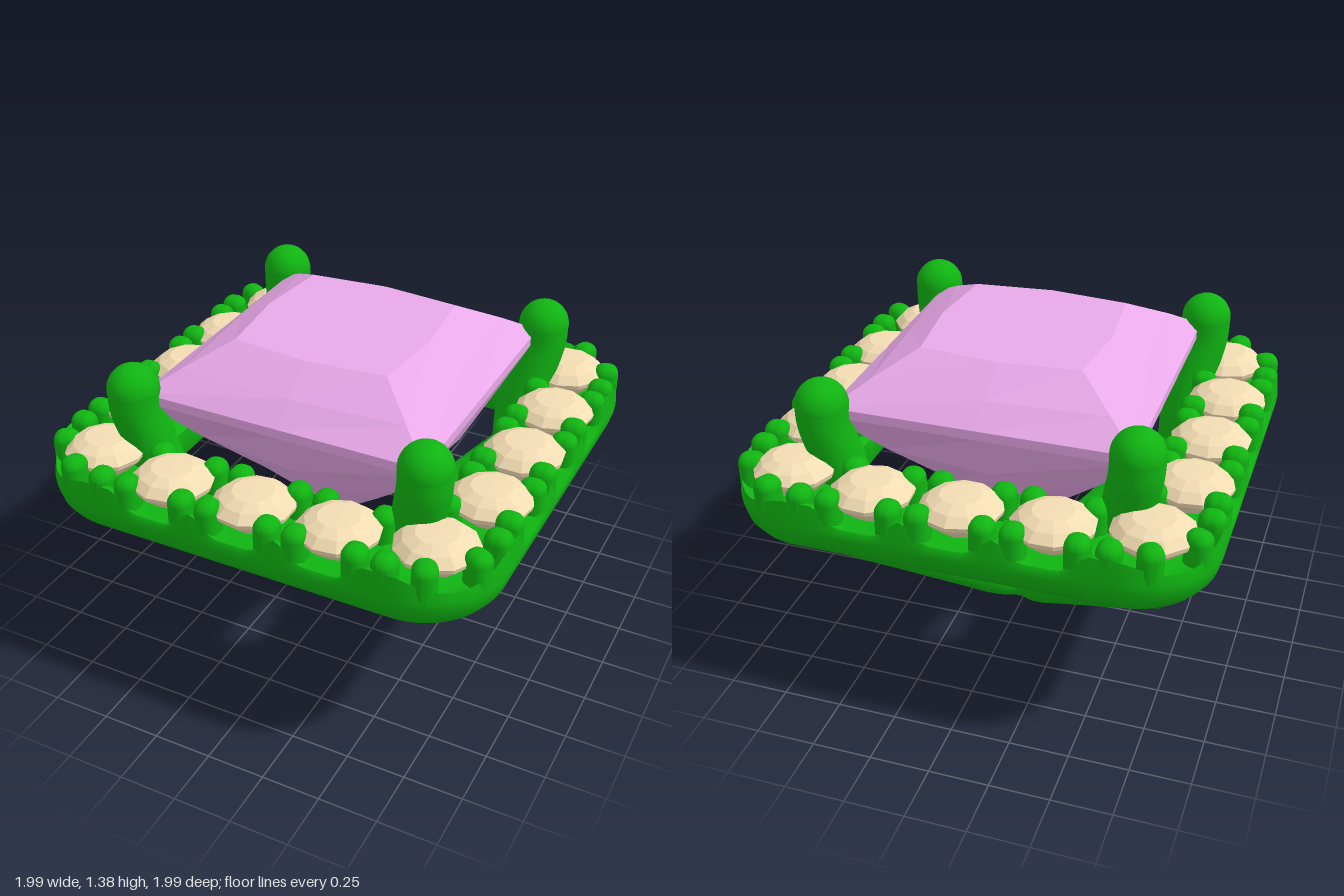
import * as THREE from 'three';
import { toCreasedNormals } from 'three/addons/utils/BufferGeometryUtils.js';
import { RoundedBoxGeometry } from 'three/addons/geometries/RoundedBoxGeometry.js';

const V = (x, y, z) => new THREE.Vector3(x, y, z);

// Skin a stack of equal-length rings (angle running from +x to +z, rings going up the outside)
function loft(rings, wrap = false) {
  const n = rings[0].length, m = rings.length, index = [];
  for (let i = 0; i < (wrap ? m : m - 1); i++) {
    for (let j = 0; j < n; j++) {
      const a = i * n + j, b = i * n + (j + 1) % n;
      const c = ((i + 1) % m) * n + j, d = ((i + 1) % m) * n + (j + 1) % n;
      index.push(a, c, b, b, c, d);
    }
  }
  const geo = new THREE.BufferGeometry().setFromPoints(rings.flat());
  geo.setIndex(index);
  geo.computeVertexNormals();
  return geo;
}

// Rounded square, inset by o from the outer edge
function outline(o) {
  const r = Math.max(0.35 - o, 0.02), c = 1 - o - r, side = [];
  for (let i = 0; i < 16; i++) {
    const a = (i / 16) * Math.PI / 2;
    side.push([c + r * Math.cos(a), c + r * Math.sin(a)]);
  }
  for (let i = 0; i < 56; i++) side.push([c - 2 * c * i / 56, c + r]);
  const pts = [];
  for (let k = 0; k < 4; k++) {
    for (const [x, z] of side) pts.push([[x, z], [-z, x], [-x, -z], [z, -x]][k]);
  }
  return pts;
}

export function createModel() {
  const model = new THREE.Group();
  const metal = new THREE.MeshStandardMaterial({ color: 0x10b412 });
  const violet = new THREE.MeshStandardMaterial({ color: 0xe8a8e8, flatShading: true });
  const cream = new THREE.MeshStandardMaterial({ color: 0xf2dcb2, flatShading: true });
  const add = (name, geo, mat, parent = model) => {
    const mesh = new THREE.Mesh(geo, mat);
    mesh.name = name;
    parent.add(mesh);
    return mesh;
  };
  const group = (name, parent = model) => {
    const g = new THREE.Group();
    g.name = name;
    parent.add(g);
    return g;
  };

  // Stone centres: three along each side, one at each corner
  const seats = [];
  for (const s of [-1, 1]) {
    for (const t of [-0.37, 0, 0.37]) seats.push([t, s * 0.81], [s * 0.81, t]);
    for (const t of [-1, 1]) seats.push([s * 0.74, t * 0.74]);
  }

  // Halo frame: swept profile whose top dips into a scallop at every stone
  const topY = (x, z) => {
    const d = Math.min(...seats.map(([a, b]) => Math.hypot(x - a, z - b)));
    return 0.885 + 0.085 * THREE.MathUtils.smoothstep(d, 0.185, 0.26);
  };
  const profile = [ // [inset, height], null height = scalloped top
    [0.09, 0.73], [0.05, 0.745], [0.02, 0.785], [0.005, 0.84], [0.003, 0.87],
    [0.012, null], [0.04, null], [0.09, null], [0.2, null], [0.31, null], [0.36, null],
    [0.38, 0.87], [0.38, 0.76], [0.36, 0.73], [0.22, 0.73],
  ];
  const rings = profile.map(([o, y]) => outline(o).map(([x, z]) => V(x, y ?? topY(x, z), z)));
  add('haloFrame', toCreasedNormals(loft(rings, true), 0.8), metal);

  // Small faceted stones
  const stones = group('haloStones');
  const cut = [[0, 0.8], [0.165, 0.955], [0.17, 0.975], [0.135, 1.008], [0.085, 1.03], [0, 1.032]]
    .map(([r, y]) => new THREE.Vector2(r, y));
  const stoneGeo = new THREE.LatheGeometry(cut, 11);
  seats.forEach(([x, z], i) => {
    const stone = add('haloStone', stoneGeo, cream, stones);
    stone.position.set(x, 0, z);
    stone.rotation.y = i * 0.7;
  });

  // Bead prongs, in pairs between neighbouring stones, plus two around each corner
  const beads = group('beadProngs');
  const beadGeo = new RoundedBoxGeometry(0.1, 0.2, 0.11, 3, 0.045);
  for (let k = 0; k < 4; k++) {
    const side = group('beadSide', beads);
    side.rotation.y = k * Math.PI / 2;
    const bead = (x, z, turn = 0) => {
      const b = add('beadProng', beadGeo, metal, side);
      b.position.set(x, 0.922, z);
      b.rotation.y = turn;
    };
    for (const s of [-1, 1]) {
      for (const x of [0.13, 0.25, 0.5, 0.62]) {
        bead(s * x, 0.937);
        if (x < 0.6) bead(s * x, 0.683);
      }
    }
    for (const a of [0.42, 1.15]) {
      bead(0.65 + 0.292 * Math.cos(a), 0.65 + 0.292 * Math.sin(a), Math.PI / 2 - a);
    }
  }

  // Two crossing V-shaped supports under the frame
  const half = [[0.79, 0.79], [0.6, 0.612], [0.4, 0.434], [0.2, 0.255], [0.1, 0.167], [0.05, 0.14]];
  for (const s of [-1, 1]) {
    const path = [
      ...half.map(([x, y]) => V(x, y, s * x)),
      V(0, 0.135, 0),
      ...half.slice().reverse().map(([x, y]) => V(-x, y, -s * x)),
    ];
    add('basketBar', new THREE.TubeGeometry(new THREE.CatmullRomCurve3(path), 64, 0.11, 20), metal);
  }
  const hub = add('basketHub', new THREE.SphereGeometry(0.135, 24, 16), metal);
  hub.position.y = 0.135;

  // Corner claws with domed tips
  for (const sx of [-1, 1]) {
    for (const sz of [-1, 1]) {
      const claw = group('cornerClaw');
      const path = [[0.645, 1.226], [0.642, 1.14], [0.615, 1], [0.585, 0.82], [0.58, 0.63]]
        .map(([d, y]) => V(sx * d, y, sz * d));
      add('clawStem', new THREE.TubeGeometry(new THREE.CatmullRomCurve3(path), 24, 0.108, 24), metal, claw);
      add('clawTip', new THREE.SphereGeometry(0.109, 24, 16), metal, claw).position.copy(path[0]);
    }
  }

  // Square centre gem: [height, corner, mid-edge], from tip to table
  const gem = [
    [0.44, 0, 0], [0.58, 0.13, 0.19], [0.73, 0.265, 0.35], [0.95, 0.46, 0.525],
    [1.16, 0.625, 0.625], [1.2, 0.625, 0.625], [1.285, 0.5, 0.525], [1.38, 0.34, 0.375], [1.38, 0, 0],
  ].map(([y, c, m]) => [[m, 0], [c, c], [0, m], [-c, c], [-m, 0], [-c, -c], [0, -m], [c, -c]]
    .map(([x, z]) => V(x, y, z)));
  add('centreGem', loft(gem), violet);

  return model;
}
